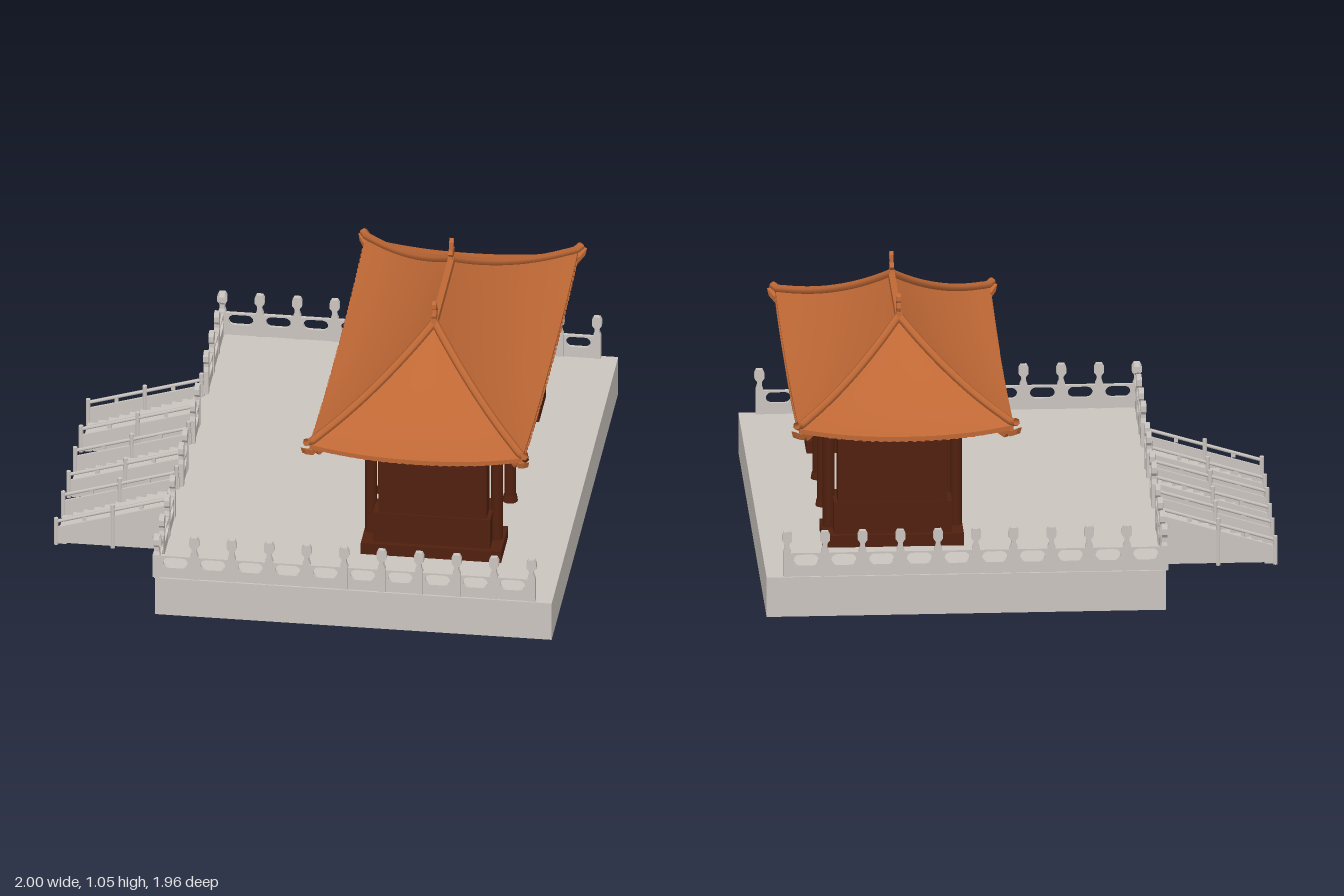
import * as THREE from 'three';
import { mergeGeometries } from 'three/addons/utils/BufferGeometryUtils.js';

const material = (name, color, side = THREE.FrontSide) => {
  const m = new THREE.MeshStandardMaterial({ color, side });
  m.name = name;
  return m;
};

const box = (x0, x1, y0, y1, z0, z1) =>
  new THREE.BoxGeometry(x1 - x0, y1 - y0, z1 - z0).translate((x0 + x1) / 2, (y0 + y1) / 2, (z0 + z1) / 2);

const shapeOf = pts => new THREE.Shape(pts.map(p => new THREE.Vector2(...p)));

const extrude = (shape, depth) =>
  new THREE.ExtrudeGeometry(shape, { depth, bevelEnabled: false, curveSegments: 5 }).translate(0, 0, -depth / 2);

// Joins indexed and plain geometries alike
const merge = geos => mergeGeometries(geos.map(g => (g.index ? g.toNonIndexed() : g)));

// Smooth sheet from a rule f(u, t) -> Vector3
function sheet(f, nu, nt) {
  const pos = [], idx = [];
  for (let j = 0; j <= nt; j++)
    for (let i = 0; i <= nu; i++) pos.push(...f(i / nu, j / nt).toArray());
  for (let j = 0; j < nt; j++)
    for (let i = 0; i < nu; i++) {
      const a = j * (nu + 1) + i, b = a + nu + 1;
      idx.push(a, a + 1, b + 1, a, b + 1, b);
    }
  const g = new THREE.BufferGeometry();
  g.setAttribute('position', new THREE.Float32BufferAttribute(pos, 3));
  g.setIndex(idx);
  g.computeVertexNormals();
  return g;
}

export function createModel() {
  const model = new THREE.Group();
  const stone = material('pale stone', 0xcac4bf);
  const wood = material('dark red wood', 0x50200e);
  const tile = material('orange tile', 0xbf6835, THREE.DoubleSide);
  const add = (name, geos, mat) => {
    const mesh = new THREE.Mesh(Array.isArray(geos) ? merge(geos) : geos, mat);
    mesh.name = name;
    model.add(mesh);
  };

  // Terrace
  const floor = 0.16;
  add('terrace', box(-0.54, 1, 0, floor, -0.975, 0.975), stone);

  // Balustrades: pierced panels between posts with lantern caps
  const half = [[0.015, 0], [0.015, 0.1], [0.009, 0.118], [0.009, 0.132], [0.019, 0.145], [0.019, 0.168], [0.012, 0.182]];
  const postShape = shapeOf([...half, ...half.map(([x, y]) => [-x, y]).reverse()]);
  function balustrade(name, x0, z0, x1, z1, bays) {
    const length = Math.hypot(x1 - x0, z1 - z0), bay = length / bays;
    const panel = shapeOf([[0, 0], [length, 0], [length, 0.095], [0, 0.095]]);
    const geos = [];
    for (let i = 0; i <= bays; i++) {
      geos.push(extrude(postShape, 0.02).translate(i * bay, 0, 0));
      if (i === bays) break;
      const c = (i + 0.5) * bay, r = 0.022, w = bay * 0.33 - r;
      const hole = new THREE.Path();
      hole.absarc(c + w, 0.066, r, -Math.PI / 2, Math.PI / 2);
      hole.absarc(c - w, 0.066, r, Math.PI / 2, Math.PI * 1.5);
      panel.holes.push(hole);
    }
    geos.push(extrude(panel, 0.014));
    add(name, geos.map(g => g.rotateY(Math.atan2(z0 - z1, x1 - x0)).translate(x0, floor, z0)), stone);
  }
  for (const z of [-0.96, 0.96]) balustrade('sideBalustrade', -0.535, z, 0.92, z, 10);
  for (const [a, b, n] of [[-0.96, -0.49, 3], [-0.23, -0.1, 1], [0.13, 0.24, 1], [0.495, 0.96, 3]])
    balustrade('stairSideBalustrade', -0.535, a, -0.535, b, n);

  // Three flights of stairs with sloped cheeks and handrails
  const steps = 11, run = 0.45 / steps, rise = floor / steps;
  const cheek = shapeOf([[-0.99, 0.01], [-0.54, 0.01], [-0.54, 0.21], [-0.99, 0.075]]);
  for (const [z0, z1] of [[-0.46, -0.25], [-0.08, 0.11], [0.27, 0.48]]) {
    const treads = [], sides = [];
    for (let i = 0; i < steps; i++) {
      const x = -0.99 + i * run, y = (i + 1) * rise;
      treads.push(box(x, x + run, y - 0.012, y, z0, z1), box(x, x + 0.008, y - rise, y - 0.012, z0, z1));
    }
    for (const z of [z0, z1]) {
      sides.push(extrude(cheek, 0.01).translate(0, 0, z));
      for (const [x, top] of [[-0.99, 0.115], [-0.77, 0.19], [-0.55, 0.26]])
        sides.push(new THREE.CylinderGeometry(0.009, 0.009, top, 8).translate(x, top / 2, z));
      for (const x of [-0.88, -0.66])
        sides.push(box(x - 0.008, x + 0.008, 0.08 + (x + 0.99) * 0.3, 0.1 + (x + 0.99) * 0.3, z - 0.005, z + 0.005));
      const rail = new THREE.LineCurve3(new THREE.Vector3(-0.99, 0.1, z), new THREE.Vector3(-0.54, 0.236, z));
      sides.push(new THREE.TubeGeometry(rail, 1, 0.007, 6));
    }
    add('stairSteps', treads, stone);
    add('stairSides', sides, stone);
  }

  // Hall: end walls on plinths
  const zMid = 0.025, columnX = [0.245, 0.735], columnZ = [0.575, 0.19, -0.13, -0.515];
  for (const s of [-1, 1]) {
    const span = (x0, x1, y0, y1, a, b) => {
      const p = zMid + s * a, q = zMid + s * b;
      return box(x0, x1, y0, y1, Math.min(p, q), Math.max(p, q));
    };
    add('endWall', [
      span(0.285, 0.705, floor, 0.66, 0.54, 0.635),
      span(0.265, 0.72, floor, 0.335, 0.53, 0.641),
      span(0.22, 0.76, 0.615, 0.66, 0.53, 0.64),
    ], wood);
    add('endWallPlinth', span(0.22, 0.765, floor, 0.208, 0.455, 0.66), wood);
    add('endLowWall', span(0.28, 0.71, floor, 0.33, 0.46, 0.54), wood);
  }

  // Recessed middle wall with a narrow slit, and its door panels
  add('middleWall', [
    box(0.475, 0.505, floor, 0.66, -0.54, 0.112),
    box(0.475, 0.505, floor, 0.66, 0.12, 0.58),
    box(0.475, 0.505, floor, 0.36, 0.112, 0.12),
  ], wood);
  const panels = [];
  for (const [a, b] of [[0.25, 0.45], [0.13, 0.23], [-0.06, 0.1], [-0.18, -0.08], [-0.41, -0.2]])
    panels.push(box(0.467, 0.513, floor, 0.33, a, b));
  add('wallPanels', panels, wood);

  // Columns, round feet, beams and stepped brackets
  const columns = [], brackets = [];
  const bracket = shapeOf([[0, 0.605], [0.12, 0.605], [0.12, 0.59], [0.09, 0.585], [0.085, 0.57],
    [0.06, 0.568], [0.055, 0.555], [0.03, 0.55], [0, 0.535]]);
  for (const x of columnX) {
    for (const z of columnZ) {
      columns.push(new THREE.CylinderGeometry(0.023, 0.023, 0.51, 16).translate(x, floor + 0.255, z));
      columns.push(new THREE.CylinderGeometry(0.026, 0.03, 0.025, 16).translate(x, floor + 0.0125, z));
      for (const s of [-1, 1])
        if (Math.abs(z + s * 0.1 - zMid) < 0.55)
          brackets.push(extrude(bracket, 0.016).rotateY(-s * Math.PI / 2).translate(x, 0, z));
    }
    columns.push(box(x - 0.012, x + 0.012, 0.61, 0.66, -0.6, 0.65));
  }
  add('columnsAndBeams', columns, wood);
  add('columnBrackets', brackets, tile);

  // Hipped roof with sagging slopes and lifted corners
  const X0 = 0.04, X1 = 0.865, Z0 = -0.815, Z1 = 0.825, RX = 0.45, R0 = -0.245, R1 = 0.26;
  const mix = THREE.MathUtils.lerp;
  const slope = ([ax, az], [bx, bz], ra, rb) => (u, t) => {
    const eave = 0.668 + 0.04 * Math.pow(Math.abs(2 * u - 1), 2.2);
    return new THREE.Vector3(mix(mix(ax, bx, u), RX, t), mix(eave, 0.955, 0.45 * t + 0.55 * t * t),
      mix(mix(az, bz, u), mix(ra, rb, u), t));
  };
  const slopes = [
    slope([X0, Z1], [X1, Z1], R1, R1), slope([X1, Z1], [X1, Z0], R1, R0),
    slope([X1, Z0], [X0, Z0], R0, R0), slope([X0, Z0], [X0, Z1], R0, R1),
  ];
  const drop = (p, d) => { p.y -= d; return p; };
  const shell = [], rafters = [], hips = [], cornerBrackets = [];
  const cornerShape = shapeOf([[-0.12, -0.005], [0.0, -0.01], [0.04, 0.012], [0.03, -0.015],
    [-0.01, -0.035], [-0.03, -0.028], [-0.045, -0.048], [-0.075, -0.042], [-0.12, -0.03]]);
  for (const f of slopes) {
    shell.push(sheet(f, 24, 12), sheet((u, t) => drop(f(u, t), 0.018), 24, 12));
    shell.push(sheet((u, t) => drop(f(u, 0), 0.018 * (1 - t)), 24, 1));
    // Rafter ends under the eave
    const a = f(0, 0), b = f(1, 0), n = Math.round(a.distanceTo(b) / 0.035);
    const alongX = Math.abs(b.x - a.x) > 0.1;
    for (let i = 1; i < n; i++) {
      const p = f(i / n, 0.06);
      rafters.push(new THREE.BoxGeometry(alongX ? 0.014 : 0.06, 0.012, alongX ? 0.06 : 0.014).translate(p.x, p.y - 0.025, p.z));
    }
    // Hip rib with an outward tip, and the carved bracket below it
    const pts = [];
    for (let i = 0; i <= 10; i++) pts.push(drop(f(0, i / 10), -0.01));
    const out = pts[0].clone().sub(pts[1]).setY(0).normalize();
    pts.unshift(pts[0].clone().addScaledVector(out, 0.02).add(new THREE.Vector3(0, 0.008, 0)));
    hips.push(new THREE.TubeGeometry(new THREE.CatmullRomCurve3(pts), 24, 0.016, 6));
    cornerBrackets.push(extrude(cornerShape, 0.02).rotateY(Math.atan2(-out.z, out.x)).translate(a.x, a.y - 0.012, a.z));
  }
  add('roofSlopes', shell, tile);
  add('rafterEnds', rafters, tile);
  add('hipRibs', hips, tile);
  add('cornerBrackets', cornerBrackets, tile);
  add('mainRidge', box(RX - 0.012, RX + 0.012, 0.935, 0.975, R0 - 0.015, R1 + 0.015), tile);

  // Curled finials at the ridge ends
  const finial = shapeOf([[-0.03, 0], [0.032, 0], [0.028, 0.03], [0.034, 0.045], [0.012, 0.045], [0.008, 0.06],
    [0.022, 0.07], [0.02, 0.088], [0.008, 0.098], [-0.004, 0.085], [-0.006, 0.055], [-0.022, 0.062], [-0.034, 0.045], [-0.02, 0.03]]);
  for (const [z, s] of [[R0 + 0.01, 1], [R1 - 0.01, -1]])
    add('ridgeFinial', extrude(finial, 0.016).rotateY(s * Math.PI / 2).translate(RX, 0.957, z), tile);

  return model;
}
